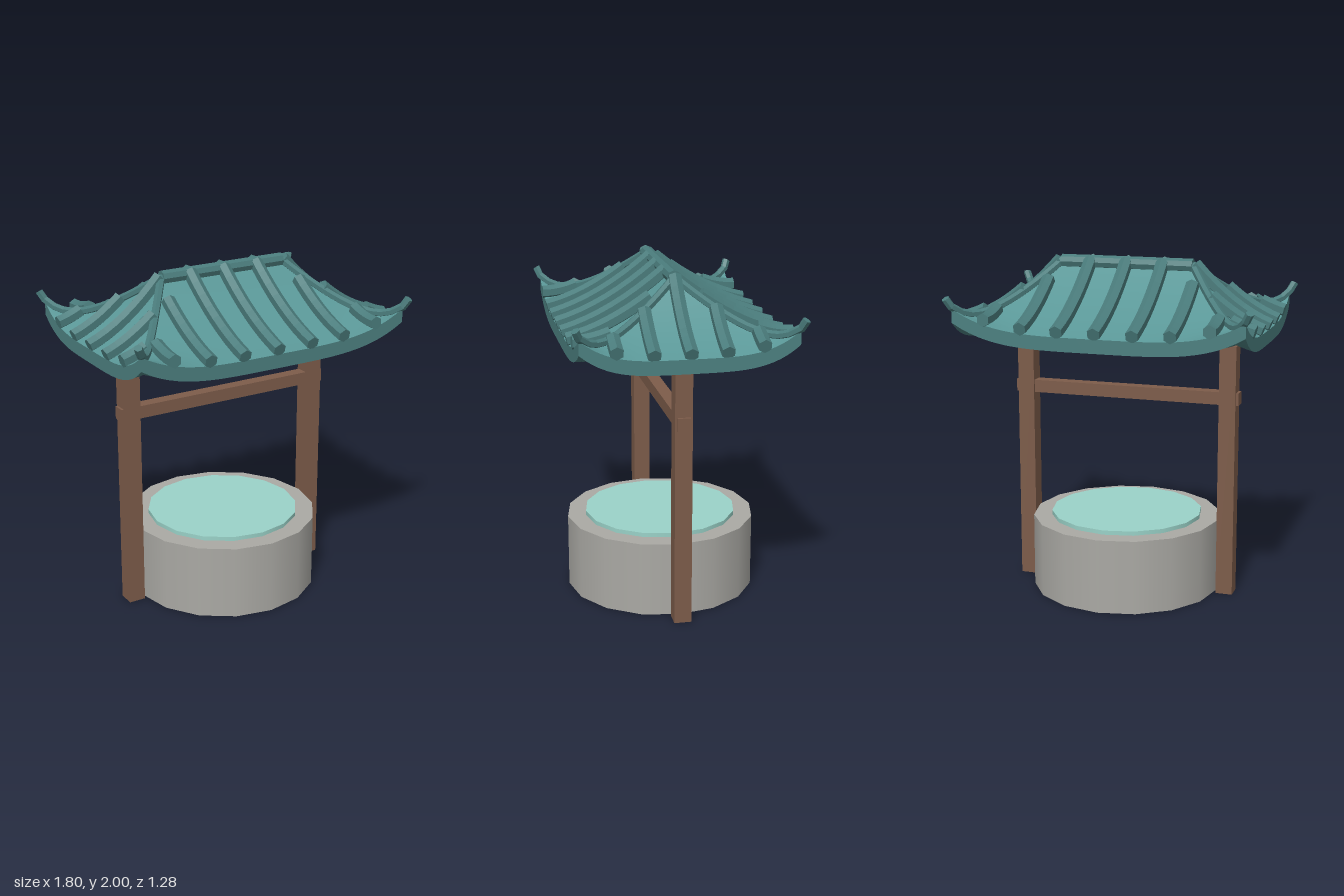
import * as THREE from 'three';
import { ParametricGeometry } from 'three/addons/geometries/ParametricGeometry.js';

const paint = (color, flatShading = false) =>
  new THREE.MeshStandardMaterial({ color, flatShading, side: THREE.DoubleSide });
const WOOD = paint(0x7d5c4a), STONE = paint(0xaaa9a4), WATER = paint(0x9ad2c8);
const TILE = paint(0x5a9797), TRIM = paint(0x4c8080), POLE = paint(0x4a7c7c, true);

// Roof measurements: eave rectangle, ridge half length, ridge height, slab thickness
const EX = 0.85, EZ = 0.6, RIDGE = 0.4, TOP = 1.95, THICK = 0.08;

// Height of the sagging roof: u runs ridge to eave, a runs -1..1 between the hips
const roofY = (u, a) =>
  TOP - 0.34 * (1.5 * u - 0.5 * u * u) + 0.13 * Math.abs(a) ** 4 * u ** 6;

// The four slopes; place() turns (along, height, outward) into world coordinates
const sides = [
  { name: 'front', along: EX, out: EZ, ridgeAlong: RIDGE, ridgeOut: 0, place: (l, y, o) => [l, y, o] },
  { name: 'right', along: EZ, out: EX, ridgeAlong: 0, ridgeOut: RIDGE, place: (l, y, o) => [-o, y, l] },
  { name: 'back', along: EX, out: EZ, ridgeAlong: RIDGE, ridgeOut: 0, place: (l, y, o) => [-l, y, -o] },
  { name: 'left', along: EZ, out: EX, ridgeAlong: 0, ridgeOut: RIDGE, place: (l, y, o) => [o, y, -l] },
];

function slopePoint(s, u, a, drop, target) {
  const l = a * (s.ridgeAlong + (s.along - s.ridgeAlong) * u);
  const o = s.ridgeOut + (s.out - s.ridgeOut) * u;
  return target.set(...s.place(l, roofY(u, a) - drop, o));
}

function add(parent, name, geometry, material, x = 0, y = 0, z = 0) {
  const mesh = new THREE.Mesh(geometry, material);
  mesh.name = name;
  mesh.position.set(x, y, z);
  parent.add(mesh);
  return mesh;
}

function surface(fn, nu, nv) {
  const g = new ParametricGeometry(fn, nu, nv);
  g.computeVertexNormals();
  return g;
}

// Capped polygonal bar swept along points, kept level along the given side vector
function sweep(points, side, radius, n = 6) {
  const pos = [], index = [], last = points.length - 1;
  points.forEach((p, i) => {
    const t = points[Math.min(i + 1, last)].clone().sub(points[Math.max(i - 1, 0)]).normalize();
    const up = t.clone().cross(side).normalize();
    for (let k = 0; k < n; k++) {
      const ang = Math.PI / 2 + (k / n) * Math.PI * 2;
      const v = p.clone().addScaledVector(side, radius * Math.cos(ang)).addScaledVector(up, radius * Math.sin(ang));
      pos.push(v.x, v.y, v.z);
      if (i < last) {
        const a = i * n + k, b = i * n + (k + 1) % n;
        index.push(a, a + n, b, b, a + n, b + n);
      }
    }
  });
  for (let k = 1; k < n - 1; k++) {
    index.push(0, k, k + 1);
    index.push(last * n, last * n + k + 1, last * n + k);
  }
  const g = new THREE.BufferGeometry();
  g.setAttribute('position', new THREE.Float32BufferAttribute(pos, 3));
  g.setIndex(index);
  const flat = g.toNonIndexed();
  flat.computeVertexNormals();
  return flat;
}

function addSlope(roof, s) {
  // Tiled top, vaulted underside and upright eave band
  add(roof, s.name + 'Slope', surface((u, v, t) => slopePoint(s, u, v * 2 - 1, 0, t), 14, 32), TILE);
  add(roof, s.name + 'Underside', surface((u, v, t) => slopePoint(s, 1 - u, v * 2 - 1, THICK, t), 14, 32), TRIM);
  add(roof, s.name + 'Eave', surface((u, v, t) => slopePoint(s, 1, u * 2 - 1, THICK * (1 - v), t), 32, 1), TRIM);

  // Tile ribs running down the slope, the outer ones cut off at the hips
  const ribs = s.ridgeAlong
    ? [[0, 0.01], [0.22, 0.01], [0.435, 0.14], [0.655, 0.4]]
    : [[0, 0.41], [0.2, 0.56], [0.4, 0.72]];
  const sideVector = new THREE.Vector3(...s.place(-1, 0, 0));
  for (const [offset, start] of ribs) {
    for (const l of offset ? [offset, -offset] : [0]) {
      const pts = [];
      for (let i = 0; i <= 8; i++) {
        const o = start + (s.out + 0.01 - start) * i / 8;
        const u = (o - s.ridgeOut) / (s.out - s.ridgeOut);
        const a = l / (s.ridgeAlong + (s.along - s.ridgeAlong) * u);
        pts.push(new THREE.Vector3(...s.place(l, roofY(u, Math.min(1, Math.abs(a))) + 0.03, o)));
      }
      add(roof, s.name + 'Rib', sweep(pts, sideVector, 0.04), POLE);
    }
  }
}

export function createModel() {
  const model = new THREE.Group();
  model.name = 'roofedWell';

  // Stone basin with the water disc slightly proud of the rim
  add(model, 'stoneBasin', new THREE.CylinderGeometry(0.565, 0.565, 0.44, 16), STONE, 0, 0.22);
  add(model, 'water', new THREE.CylinderGeometry(0.455, 0.455, 0.065, 16), WATER, 0, 0.4325);

  // Wooden frame
  for (const x of [-0.625, 0.625])
    add(model, x > 0 ? 'leftPost' : 'rightPost', new THREE.BoxGeometry(0.1, 1.51, 0.1), WOOD, x, 0.755);
  add(model, 'crossbeam', new THREE.BoxGeometry(1.38, 0.075, 0.075), WOOD, 0, 1.197);

  // Hipped roof
  const roof = new THREE.Group();
  roof.name = 'roof';
  model.add(roof);
  sides.forEach((s) => addSlope(roof, s));

  // Ridge bar
  const ridge = [-RIDGE, RIDGE].map((x) => new THREE.Vector3(x, 1.96, 0));
  add(roof, 'ridge', sweep(ridge, new THREE.Vector3(0, 0, 1), 0.04, 8), POLE);

  // Hip bars ending in upturned tips
  for (const sx of [-1, 1]) for (const sz of [-1, 1]) {
    const pts = [];
    for (let i = 0; i <= 12; i++) {
      const u = i / 12;
      pts.push(new THREE.Vector3(sx * (RIDGE + (EX - RIDGE) * u), roofY(u, 1) + 0.012, sz * EZ * u));
    }
    pts.push(new THREE.Vector3(sx * 0.875, 1.8, sz * 0.62));
    const side = new THREE.Vector3(-sz * EZ, 0, sx * (EX - RIDGE)).normalize();
    add(roof, 'hip', sweep(pts, side, 0.024), POLE);
  }
  return model;
}
